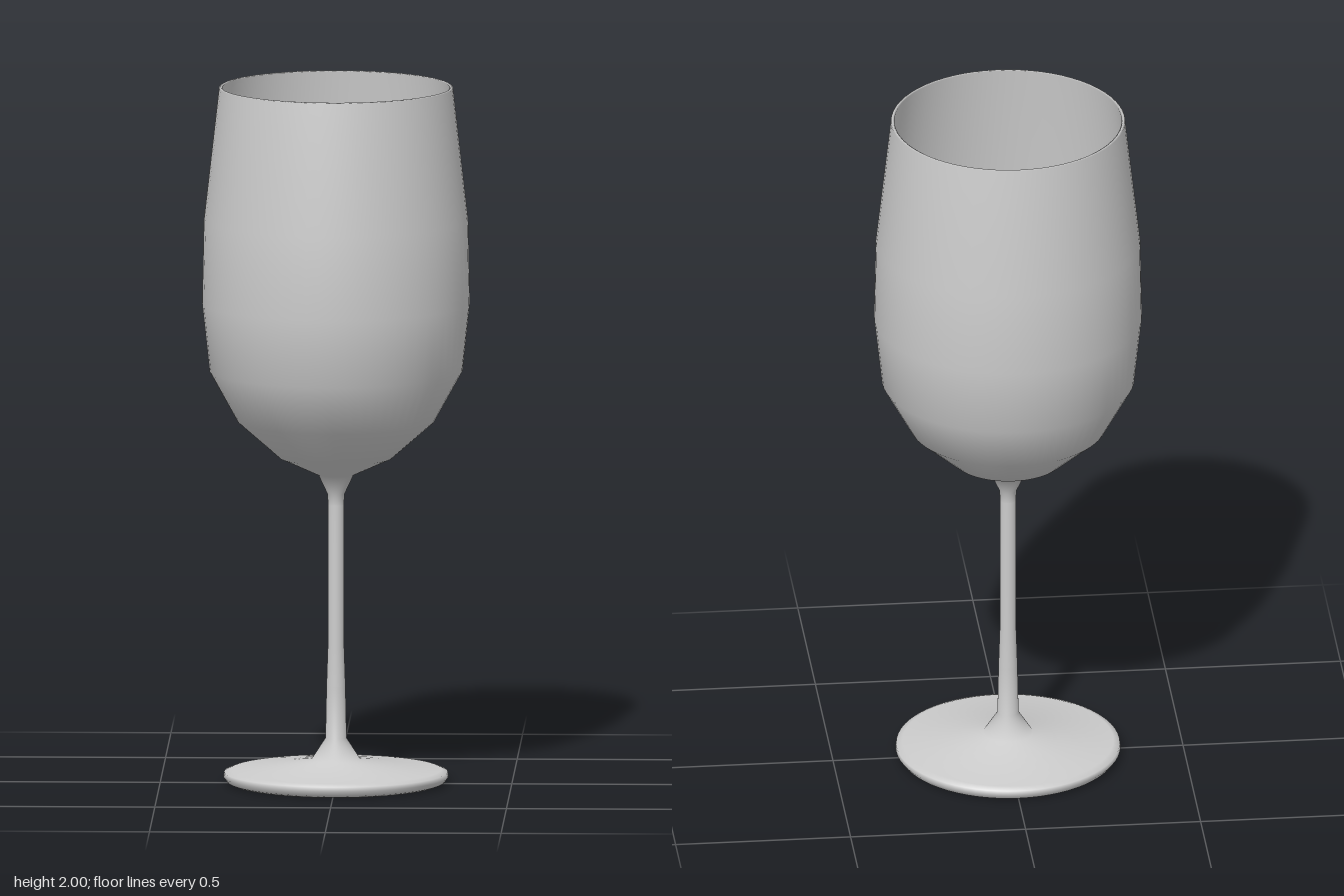
import * as THREE from 'three';

const SEGMENTS = 64;

export function createModel() {
  const group = new THREE.Group();
  group.name = 'wineGlass';
  const material = new THREE.MeshStandardMaterial({ color: 0xcccccc });

  // Each part is a smooth turned profile of [radius, height] points
  const turn = (name, profile) => {
    const points = profile.map(([r, y]) => new THREE.Vector2(r, y));
    const mesh = new THREE.Mesh(new THREE.LatheGeometry(points, SEGMENTS), material);
    mesh.name = name;
    group.add(mesh);
  };

  // Flat underside, rounded edge and flared neck
  turn('foot', [
    [0, 0.005], [0.295, 0.005], [0.31, 0.006], [0.32, 0.02], [0.318, 0.033], [0.3, 0.04],
    [0.07, 0.068], [0.03, 0.13], [0.027, 0.28],
  ].map(([r, y]) => [r, y === 0.005 ? 0 : y]));

  // Slender stem, meeting its neighbours on straight runs
  turn('stem', [[0.027, 0.28], [0.023, 0.4], [0.023, 0.8]]);

  // Outer wall up to the rim, then down the inner wall to the bottom
  turn('bowl', [
    [0.023, 0.8], [0.024, 0.83], [0.05, 0.885], [0.16, 0.935], [0.28, 1.04], [0.36, 1.185],
    [0.381, 1.38], [0.376, 1.62], [0.333, 1.997], [0.328, 2], [0.323, 1.997],
    [0.366, 1.62], [0.371, 1.38], [0.35, 1.19], [0.273, 1.05], [0.155, 0.947], [0.05, 0.91], [0, 0.905],
  ]);

  return group;
}
